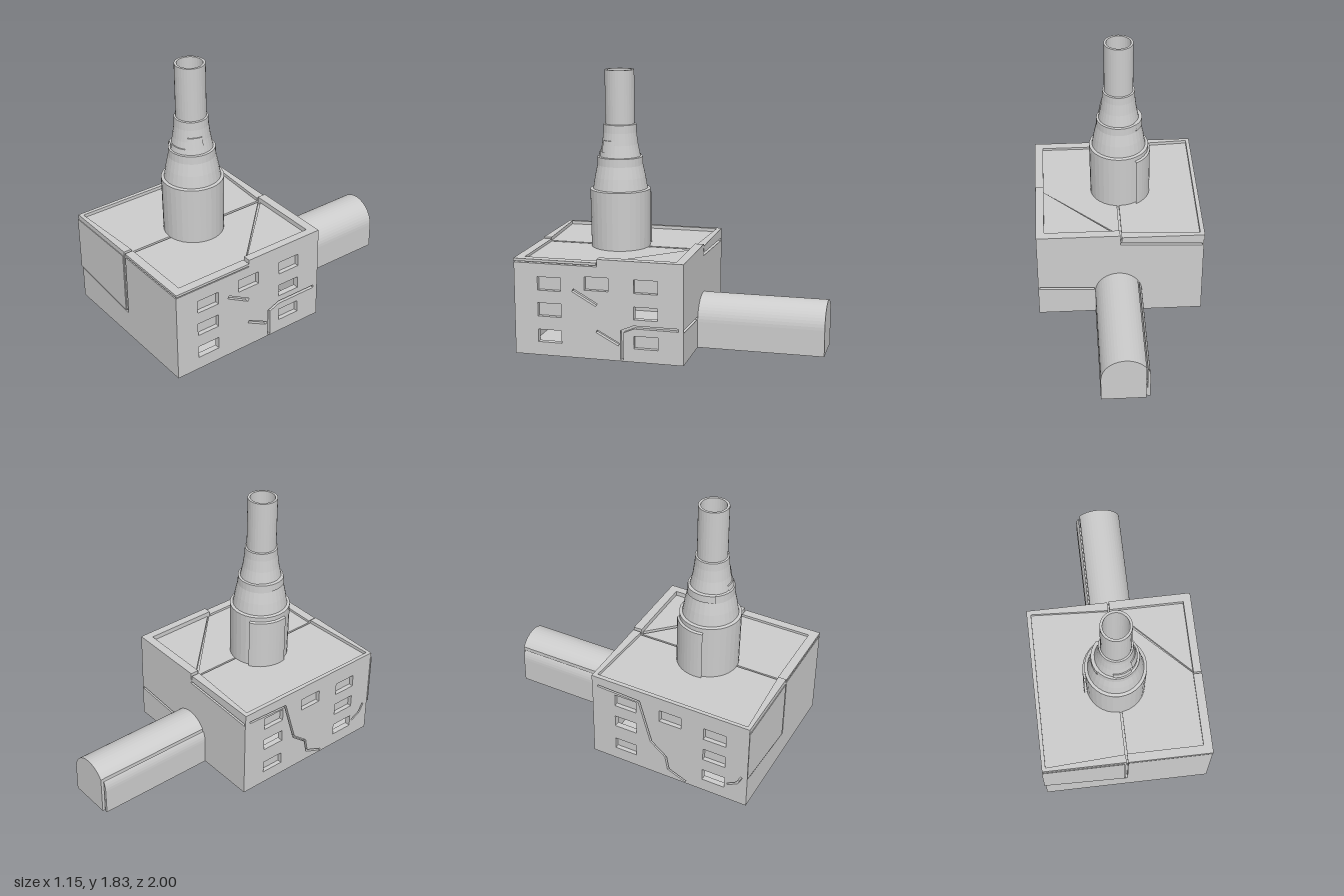
import * as THREE from 'three';

const concrete = new THREE.MeshStandardMaterial({ color: 0xcccccc, flatShading: true, side: THREE.DoubleSide });
concrete.name = 'concrete grey';

const W = 0.57, BACK = -0.15, FRONT = 0.99, T = 0.03, WALL = 0.62;
const v = (a) => new THREE.Vector2(a[0], a[1]);
const rect = (x0, x1, y0, y1) => [[x0, y0], [x1, y0], [x1, y1], [x0, y1]];

function mesh(name, geometry, parent) {
  const m = new THREE.Mesh(geometry, concrete);
  m.name = name;
  parent.add(m);
  return m;
}

function panel(outline, holes, depth) {
  const shape = new THREE.Shape(outline.map(v));
  for (const h of holes) shape.holes.push(new THREE.Path(h.map(v)));
  return new THREE.ExtrudeGeometry(shape, { depth, bevelEnabled: false });
}

// Horizontal slab from a plan outline of [x, z] corners
function slab(outline, y0, y1) {
  return panel(outline.map(([x, z]) => [x, -z]), [], y1 - y0).rotateX(-Math.PI / 2).translate(0, y0, 0);
}

// Narrow crack outline following a polyline
function crack(points, half = 0.007) {
  const p = points.map(v), left = [], right = [];
  p.forEach((q, i) => {
    const a = q.clone().sub(p[Math.max(i - 1, 0)]).normalize();
    const b = p[Math.min(i + 1, p.length - 1)].clone().sub(q).normalize();
    const dir = a.clone().add(b).normalize();
    const along = a.length() ? a : b;
    const k = half / Math.max(dir.dot(along), 0.4);
    left.push([q.x - dir.y * k, q.y + dir.x * k]);
    right.unshift([q.x + dir.y * k, q.y - dir.x * k]);
  });
  return left.concat(right);
}

// Outer wall skin over a closed inner lining
function sideWall(name, x, liningX, cracks, windows, openings, parent) {
  const wall = rect(BACK + T, FRONT - T, 0, WALL);
  const turn = (g, px) => g.rotateY(-Math.PI / 2).translate(px, 0, 0);
  mesh(name, turn(panel(wall, [...windows, ...openings, ...cracks], T), x), parent);
  mesh(name + 'Lining', turn(panel(wall, openings, 0.01), liningX), parent);
}

function endWall(name, z, liningZ, cracks, parent) {
  mesh(name, panel(rect(-W, W, 0, WALL), cracks, T).translate(0, 0, z), parent);
  mesh(name + 'Lining', panel(rect(-W + T, W - T, 0, WALL), [], 0.01).translate(0, 0, liningZ), parent);
}

function createBuilding() {
  const g = new THREE.Group();
  g.name = 'building';
  const windows = [
    rect(0.67, 0.83, 0.265, 0.355), rect(0.67, 0.83, 0.44, 0.53),
    rect(0.35, 0.51, 0.46, 0.55), rect(0.02, 0.18, 0.46, 0.55), rect(0.02, 0.18, 0.09, 0.175),
  ];
  const openings = [rect(0.67, 0.83, 0.09, 0.175), rect(0.02, 0.18, 0.285, 0.37)];

  sideWall('leftWall', W, W - T, [
    crack([[0.26, 0.01], [0.26, 0.2], [0.18, 0.234], [-0.115, 0.234]], 0.01),
    crack([[0.59, 0.455], [0.43, 0.365]], 0.011),
    crack([[0.43, 0.19], [0.28, 0.11]], 0.01),
  ], windows, openings, g);
  sideWall('rightWall', -W + T, -W + T + 0.01, [
    crack([[-0.11, 0.58], [0.2, 0.566], [0.24, 0.43], [0.29, 0.26], [0.4, 0.17], [0.42, 0.07], [0.55, 0.015]]),
    crack([[0.85, 0.13], [0.92, 0.17], [0.95, 0.23]]),
  ], windows, openings, g);
  endWall('frontWall', FRONT - T, FRONT - T - 0.01, [
    crack([[-0.56, 0.235], [-0.005, 0.185], [-0.005, 0.612]]),
  ], g);
  endWall('backWall', BACK, BACK + T, [
    crack([[0.56, 0.228], [0.18, 0.205]], 0.009),
    crack([[-0.56, 0.575], [0, 0.6]], 0.009),
  ], g);

  // Raised front slab beside the crack, and one on the side
  mesh('frontShiftedSlab', panel([[-W, 0.243], [-0.012, 0.193], [-0.012, 0.62], [-W, 0.62]], [], 0.005)
    .translate(-0.008, 0, FRONT), g);

  mesh('floor', slab(rect(-W + T, W - T, BACK + T, FRONT - T), 0, 0.01), g);
  mesh('roofBase', slab(rect(-W + 0.01, W - 0.01, BACK + 0.01, FRONT - 0.01), 0.605, 0.615), g);

  // Roof slabs, split by the centre gap and a diagonal break
  mesh('rightRoof', slab(rect(-0.56, -0.012, BACK + 0.01, FRONT - 0.01), 0.615, 0.632), g);
  mesh('frontRoof', slab([[0.002, -0.09], [0.54, 0.44], [0.54, 0.96], [0.002, 0.96]], 0.615, 0.63), g);
  mesh('backRoof', slab([[0.006, -0.11], [0.54, -0.11], [0.54, 0.432]], 0.615, 0.637), g);

  // Parapet pieces at slightly different heights
  mesh('rightParapet', slab([[-0.575, BACK], [-0.01, BACK], [-0.01, -0.09], [-0.545, -0.12],
    [-0.55, 0.965], [-0.01, 0.935], [-0.01, FRONT], [-0.575, FRONT]], 0.62, 0.655), g);
  mesh('backParapet', slab([[0, BACK], [W, BACK], [W, 0.425], [0.515, 0.425], [0.515, -0.09], [0, -0.09]], 0.62, 0.67), g);
  mesh('frontParapet', slab([[0.515, 0.43], [0.575, 0.43], [0.575, FRONT], [0, FRONT], [0, 0.93], [0.515, 0.93]], 0.63, 0.647), g);
  return g;
}

function createChimney() {
  const g = new THREE.Group();
  g.name = 'chimney';
  // Stepped stack with an open top
  const profile = [[0.2, 0.61], [0.205, 1.025], [0.185, 1.03], [0.172, 1.11], [0.155, 1.19], [0.153, 1.245],
    [0.138, 1.248], [0.122, 1.33], [0.112, 1.41], [0.11, 1.465], [0.099, 1.468], [0.099, 1.83],
    [0.083, 1.83], [0.083, 0.65], [0, 0.65]];
  mesh('stack', new THREE.LatheGeometry(profile.map(v), 32), g);

  // Curved shards standing slightly proud of the stack
  const shard = (name, pts, start, sweep) =>
    mesh(name, new THREE.LatheGeometry(pts.map(v), 10, start, sweep), g);
  shard('baseShard', [[0.2, 0.63], [0.218, 0.63], [0.218, 0.985], [0.2, 0.995]], Math.PI * 1.17, Math.PI * 0.4);
  shard('middleShard', [[0.15, 1.2], [0.162, 1.2], [0.16, 1.25], [0.135, 1.252]], Math.PI * 1.25, Math.PI * 0.45);
  shard('upperShard', [[0.13, 1.25], [0.144, 1.25], [0.137, 1.285], [0.125, 1.287]], -0.25, 0.9);
  shard('sideShard', [[0.11, 1.28], [0.138, 1.28], [0.124, 1.36], [0.11, 1.362]], 0.75, 0.8);
  g.position.set(-0.02, 0, 0.435);
  return g;
}

function createTunnel() {
  const g = new THREE.Group();
  g.name = 'tunnel';
  const cx = 0.0125, r = 0.1625, spring = 0.178;
  const arc = (a, b, n) => Array.from({ length: n + 1 }, (_, i) => {
    const t = a + (b - a) * i / n;
    return [cx + r * Math.cos(t), spring + r * Math.sin(t)];
  });
  // Vaulted passage with a split-off strip along one side
  const mainEnd = Math.acos((-0.122 - cx) / r), stripStart = Math.acos((-0.131 - cx) / r);
  mesh('vault', panel([[-0.122, 0], [cx + r, 0], ...arc(0, mainEnd, 20)], [], 0.85).translate(0, 0, -1), g);
  mesh('sideStrip', panel([[cx - r, 0], [-0.131, 0], ...arc(stripStart, Math.PI, 4)], [], 0.835)
    .translate(0, 0, -0.985), g);
  mesh('tunnelFloor', slab(rect(-0.145, 0.17, -0.98, BACK), 0.001, 0.1), g);
  return g;
}

export function createModel() {
  const model = new THREE.Group();
  model.name = 'factory';
  model.add(createBuilding(), createChimney(), createTunnel());
  return model;
}
